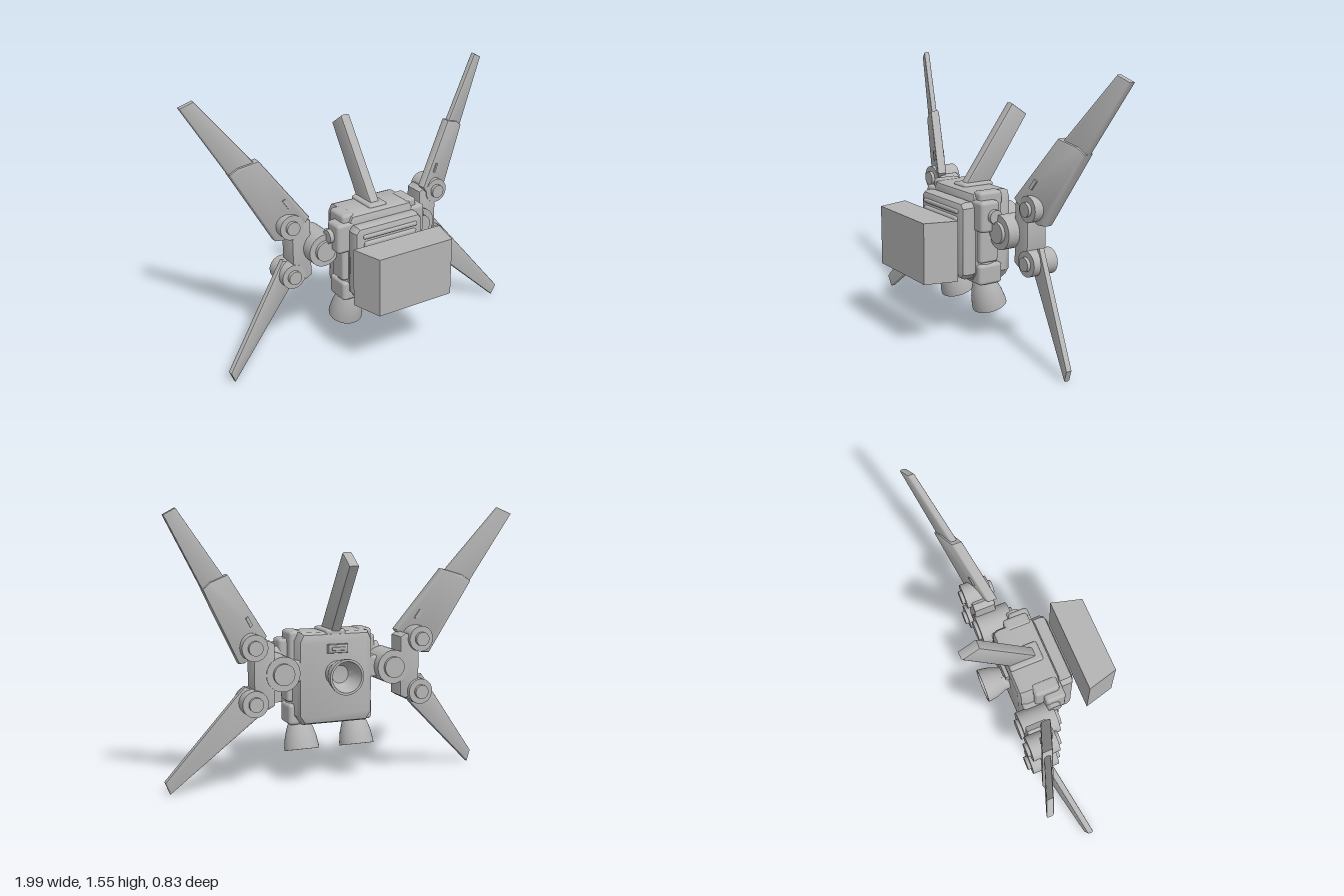
import * as THREE from 'three';
import { toCreasedNormals } from 'three/addons/utils/BufferGeometryUtils.js';
import { RoundedBoxGeometry } from 'three/addons/geometries/RoundedBoxGeometry.js';

const grey = new THREE.MeshStandardMaterial({ color: 0xb4b4b4 });
grey.name = 'hullGrey';

function add(parent, name, geometry, x = 0, y = 0, z = 0) {
  const mesh = new THREE.Mesh(geometry, grey);
  mesh.name = name;
  mesh.position.set(x, y, z);
  parent.add(mesh);
  return mesh;
}

// Rounded box given by its limits
function block(parent, name, [x0, x1], [y0, y1], [z0, z1], r = 0.015) {
  const g = new RoundedBoxGeometry(Math.abs(x1 - x0), y1 - y0, z1 - z0, 2, r);
  return add(parent, name, g, (x0 + x1) / 2, (y0 + y1) / 2, (z0 + z1) / 2);
}

// Outline extruded to a bevelled slab, centred on z = 0
function slab(points, depth, bevel) {
  const shape = new THREE.Shape(points.map(([x, y]) => new THREE.Vector2(x, y)));
  const g = new THREE.ExtrudeGeometry(shape, {
    depth: depth - 2 * bevel, bevelEnabled: bevel > 0, bevelThickness: bevel,
    bevelSize: bevel, bevelOffset: -bevel, bevelSegments: 2,
  });
  g.translate(0, 0, bevel - depth / 2);
  return toCreasedNormals(g, 0.6);
}

// Slab in the xy plane whose depth position leans with distance from the middle
function leaningSlab(points, side, depth, bevel, z0, slope, x0) {
  const g = slab(points.map(([x, y]) => [x * side, y]), depth, bevel);
  const p = g.attributes.position;
  for (let i = 0; i < p.count; i++) {
    p.setZ(i, p.getZ(i) + z0 + slope * (Math.abs(p.getX(i)) - x0));
  }
  g.computeVertexNormals();
  return toCreasedNormals(g, 0.6);
}

// Symmetric outline from its right half
const mirrored = half => [...half, ...half.slice().reverse().map(([x, y]) => [-x, y])];

// Hollow thruster bell, mouth down at y = 0
function bell(length) {
  const profile = [[0, 0.8], [0.05, 0.75], [0.075, 0.4], [0.087, 0], [0.1, 0],
    [0.099, 0.12], [0.09, 0.45], [0.075, 0.75], [0.057, 1], [0, 1]];
  const g = new THREE.LatheGeometry(
    profile.map(([r, t]) => new THREE.Vector2(r, t * length)), 32);
  return toCreasedNormals(g, 0.7);
}

// Pivot along z with a smaller cap showing at both ends
function pivot(parent, name, x, y, z0, z1, r, cap) {
  const z = (z0 + z1) / 2, len = z1 - z0;
  const drum = new THREE.CylinderGeometry(r, r, len - 0.04, 32).rotateX(Math.PI / 2);
  const pin = new THREE.CylinderGeometry(cap, cap, len, 32).rotateX(Math.PI / 2);
  add(parent, name, drum, x, y, z);
  add(parent, name + 'Cap', pin, x, y, z);
}

export function createModel() {
  const model = new THREE.Group();
  model.name = 'wingedThrusterPack';

  // Main body
  const body = mirrored([[0.2, 0.87], [0.225, 0.82], [0.225, 0.4], [0.19, 0.35]]);
  add(model, 'body', slab(body, 0.255, 0.04), 0, 0, -0.045);

  // Front panel with a raised centre and two trim bars
  const panel = mirrored([[0.2, 0.82], [0.225, 0.79], [0.225, 0.41], [0.2, 0.38]]);
  add(model, 'frontPanel', slab(panel, 0.1, 0.03), 0, 0, 0.11);
  block(model, 'frontPlate', [-0.175, 0.175], [0.42, 0.74], [0.12, 0.175]);
  for (const y of [0.4, 0.755]) {
    block(model, 'trimBar', [-0.18, 0.18], [y, y + 0.025], [0.13, 0.172], 0.01);
  }

  // Detached front block, narrower in front
  const frontBlock = slab([[-0.29, 0.23], [0.29, 0.23], [0.24, 0.415], [-0.24, 0.415]], 0.34, 0);
  add(model, 'frontBlock', frontBlock.rotateX(Math.PI / 2), 0, 0.58, 0);

  // Swept dorsal fin; outline is (z, y), turned to stand along z
  const fin = slab([[0.02, 0.86], [-0.31, 1.32], [-0.415, 1.25], [-0.135, 0.84]], 0.06, 0.012);
  add(model, 'dorsalFin', fin.rotateY(-Math.PI / 2));
  block(model, 'finBase', [-0.06, 0.06], [0.84, 0.885], [-0.16, 0.04]);

  // Rear thruster and the slot above it
  const rear = add(model, 'rearThruster', bell(0.14), 0, 0.64, -0.32);
  rear.rotation.x = Math.PI / 2;
  const collar = new THREE.CylinderGeometry(0.07, 0.07, 0.06, 32).rotateX(Math.PI / 2);
  add(model, 'thrusterCollar', collar, 0, 0.64, -0.175);
  const rim = slab([[-0.06, 0.755], [0.06, 0.755], [0.06, 0.805], [-0.06, 0.805]], 0.04, 0.008);
  add(model, 'rearVent', rim, 0, 0, -0.175);
  block(model, 'ventBar', [-0.04, 0.04], [0.77, 0.79], [-0.202, -0.18], 0.005);

  for (const s of [1, -1]) {
    const half = new THREE.Group();
    half.name = s > 0 ? 'leftAssembly' : 'rightAssembly';
    model.add(half);

    // Side pods with a round knob
    block(half, 'sidePod', [s * 0.18, s * 0.295], [0.655, 0.83], [-0.04, 0.08], 0.02);
    block(half, 'podShoulder', [s * 0.17, s * 0.25], [0.68, 0.875], [-0.09, 0.06], 0.02);
    const knob = new THREE.CylinderGeometry(0.04, 0.04, 0.04, 24).rotateZ(Math.PI / 2);
    add(half, 'podKnob', knob, s * 0.3, 0.745, 0);
    block(half, 'sideRail', [s * 0.2, s * 0.255], [0.47, 0.66], [-0.06, 0.06]);

    // Lower thruster, leaning backwards
    block(half, 'thrusterMount', [s * 0.09, s * 0.255], [0.34, 0.46], [-0.09, 0.065], 0.02);
    const dome = add(half, 'mountDome', new THREE.SphereGeometry(0.075, 24, 16), s * 0.17, 0.44, 0);
    dome.scale.z = 1.1;
    const lower = add(half, 'lowerThruster', bell(0.17), s * 0.17, 0.19, -0.06);
    lower.rotation.x = 0.28;

    // Shoulder joint and wing bracket
    block(half, 'jointArm', [s * 0.18, s * 0.33], [0.6, 0.72], [-0.16, -0.05]);
    pivot(half, 'shoulderJoint', s * 0.33, 0.66, -0.235, 0.012, 0.097, 0.06);
    const bracket = [[0.375, 0.83], [0.41, 0.85], [0.47, 0.83], [0.495, 0.73],
      [0.495, 0.59], [0.47, 0.49], [0.41, 0.47], [0.375, 0.49]];
    add(half, 'wingBracket', slab(bracket.map(([x, y]) => [x * s, y]), 0.13, 0.012), 0, 0, -0.145);
    pivot(half, 'upperPivot', s * 0.495, 0.815, -0.255, -0.055, 0.073, 0.04);
    pivot(half, 'lowerPivot', s * 0.495, 0.51, -0.255, -0.055, 0.073, 0.04);

    // Upper wing: thick sleeve and thinner blade
    const sleeve = [[0.39, 0.86], [0.41, 0.83], [0.53, 0.728], [0.57, 0.727],
      [0.785, 1.14], [0.74, 1.175], [0.635, 1.21]];
    const blade = [[0.58, 1.06], [0.735, 1.05], [0.995, 1.52], [0.925, 1.555], [0.655, 1.2]];
    const tab = [[0.485, 0.93], [0.5, 0.92], [0.53, 0.97], [0.515, 0.98]];
    add(half, 'upperWingSleeve', leaningSlab(sleeve, s, 0.06, 0.01, -0.09, -0.4, 0.39));
    add(half, 'upperWingBlade', leaningSlab(blade, s, 0.038, 0.01, -0.09, -0.4, 0.39));
    add(half, 'sleeveTab', leaningSlab(tab, s, 0.075, 0, -0.09, -0.4, 0.39));

    // Lower wing
    const lowerWing = [[0.43, 0.47], [0.45, 0.44], [0.925, 0.003], [0.952, 0.07],
      [0.535, 0.6], [0.5, 0.585]];
    add(half, 'lowerWing', leaningSlab(lowerWing, s, 0.038, 0.01, -0.15, 0.32, 0.53));
  }
  return model;
}
